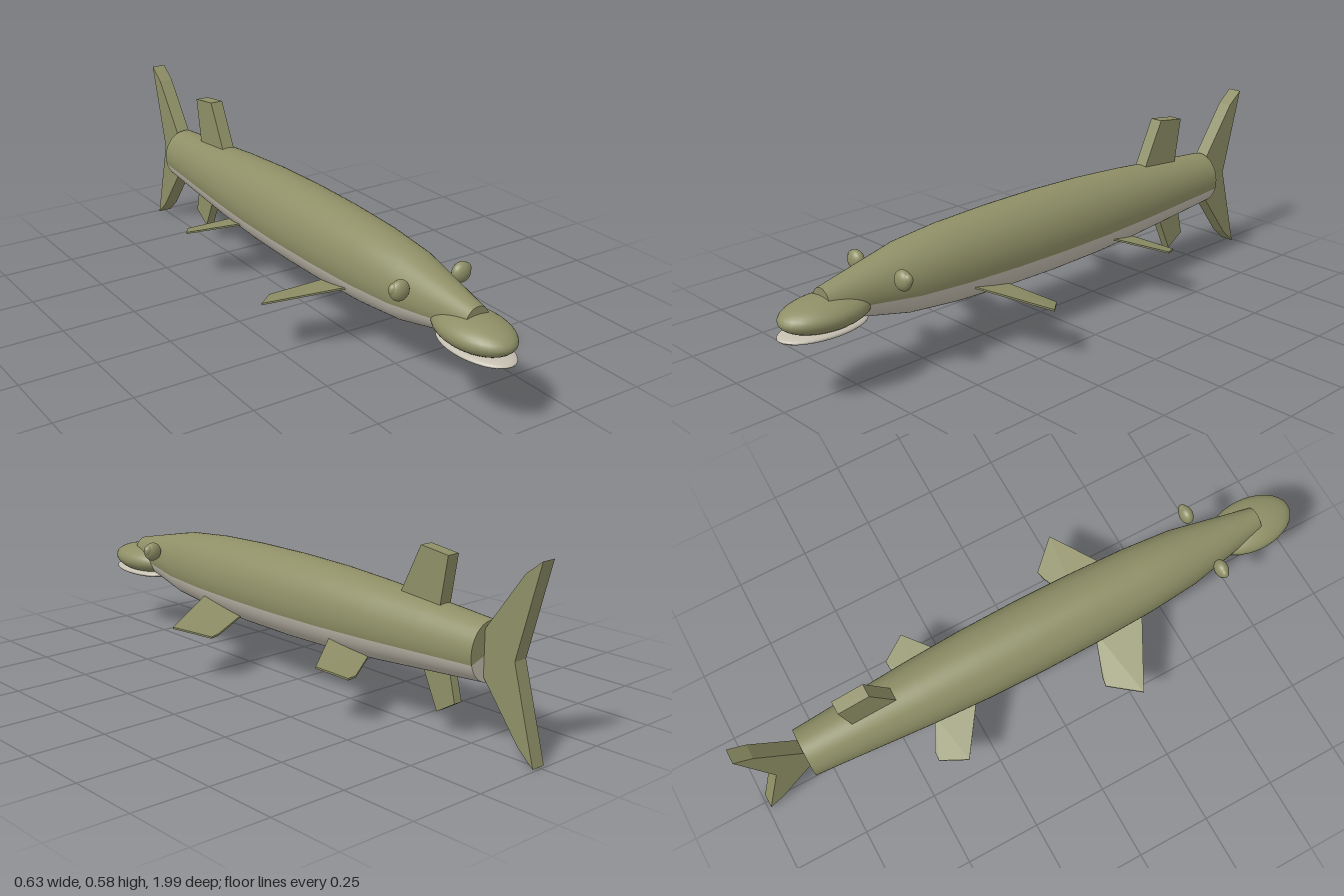
import * as THREE from 'three';
import { ConvexGeometry } from 'three/addons/geometries/ConvexGeometry.js';

export function createModel() {
  const model = new THREE.Group();
  model.name = 'fish';
  const olive = new THREE.MeshStandardMaterial({ color: 0x8e8f66 });
  olive.name = 'olive skin';
  const pale = new THREE.MeshStandardMaterial({ color: 0xc4beb0 });
  pale.name = 'pale belly';

  function add(name, geometry, material) {
    const mesh = new THREE.Mesh(geometry, material);
    mesh.name = name;
    model.add(mesh);
    return mesh;
  }

  function ellipsoid(name, material, [x, y, z], [rx, ry, rz]) {
    const mesh = add(name, new THREE.SphereGeometry(1, 32, 20), material);
    mesh.position.set(x, y, z);
    mesh.scale.set(rx, ry, rz);
  }

  // Body: profile of [radius, z]; repeated points keep the end caps sharp
  const profile = [
    [0, -0.805], [0.09, -0.805], [0.09, -0.805], [0.106, -0.6], [0.122, -0.4], [0.133, -0.2],
    [0.137, 0], [0.135, 0.2], [0.127, 0.4], [0.111, 0.57], [0.048, 0.855], [0.048, 0.855], [0, 0.855],
  ].map(([r, z]) => new THREE.Vector2(r, z));
  const bellyAngle = THREE.MathUtils.degToRad(73);

  function bodyPart(name, material, start, length) {
    const geometry = new THREE.LatheGeometry(profile, 32, start, length);
    geometry.rotateX(Math.PI / 2);
    geometry.scale(0.88, 1, 1);
    geometry.translate(0, 0.29, 0);
    add(name, geometry, material);
  }
  bodyPart('back', olive, bellyAngle, 2 * (Math.PI - bellyAngle));
  bodyPart('belly', pale, -bellyAngle, 2 * bellyAngle);

  // Mouth
  ellipsoid('upperJaw', olive, [0, 0.264, 0.842], [0.093, 0.05, 0.15]);
  ellipsoid('lowerJaw', pale, [0, 0.219, 0.853], [0.079, 0.018, 0.147]);

  // Upright fins: outline in [z, y], given a width across x
  function uprightFin(name, outline, width) {
    const shape = new THREE.Shape(outline.map(([z, y]) => new THREE.Vector2(z, y)));
    const geometry = new THREE.ExtrudeGeometry(shape, { depth: width, bevelEnabled: false });
    geometry.rotateY(-Math.PI / 2);
    geometry.translate(width / 2, 0, 0);
    add(name, geometry, olive);
  }
  uprightFin('dorsalFin', [[-0.47, 0.38], [-0.555, 0.553], [-0.66, 0.54], [-0.63, 0.36]], 0.044);
  uprightFin('analFin', [[-0.56, 0.21], [-0.67, 0.21], [-0.695, 0.108], [-0.627, 0.067]], 0.03);
  uprightFin('tailFin', [
    [-0.79, 0.34], [-0.935, 0.54], [-0.99, 0.583], [-0.912, 0.29],
    [-0.99, 0.002], [-0.935, 0.05], [-0.79, 0.24],
  ], 0.048);

  // Paired fins: thin slabs through corner points of the +x side
  function pairedFin(name, corners, side) {
    const points = corners.flatMap(([x, y, z]) =>
      [-0.003, 0.003].map((t) => new THREE.Vector3(side * x, y + t, z)));
    add(name, new ConvexGeometry(points), olive);
  }

  for (const side of [1, -1]) {
    const label = side > 0 ? 'left' : 'right';
    pairedFin(label + 'PectoralFin',
      [[0.08, 0.228, 0.378], [0.317, 0.183, 0.25], [0.232, 0.154, 0.157], [0.2, 0.156, 0.163], [0.06, 0.186, 0.213]], side);
    pairedFin(label + 'PelvicFin',
      [[0.08, 0.22, -0.24], [0.243, 0.183, -0.355], [0.192, 0.157, -0.44], [0.16, 0.158, -0.438], [0.06, 0.182, -0.385]], side);

    // Bulging eye with a smaller outer bulb
    ellipsoid(label + 'Eye', olive, [side * 0.111, 0.334, 0.65], [0.032, 0.032, 0.022]);
    ellipsoid(label + 'EyeBulb', olive, [side * 0.128, 0.34, 0.648], [0.019, 0.02, 0.015]);
  }

  return model;
}
